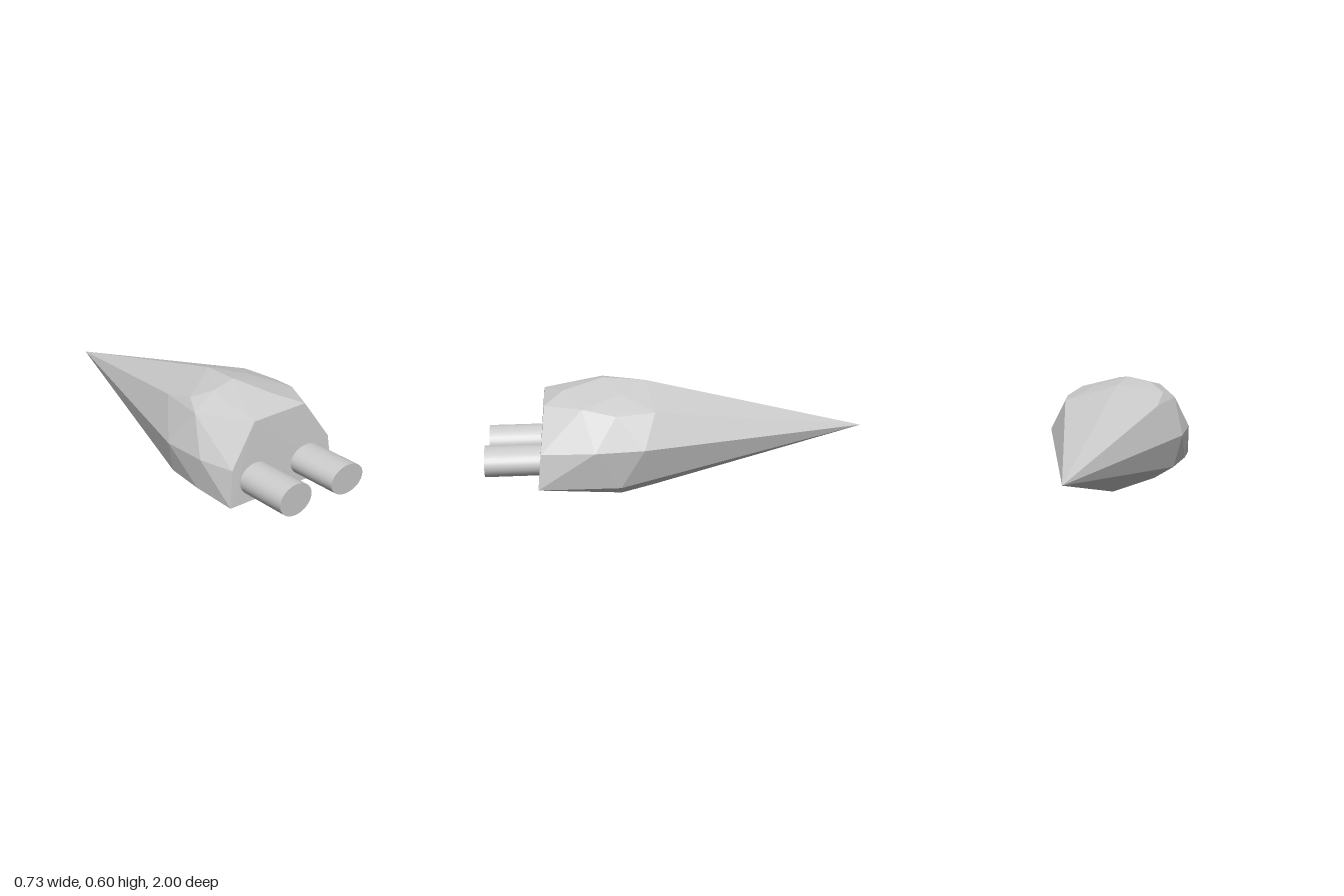
import * as THREE from 'three';
import { ConvexGeometry } from 'three/addons/geometries/ConvexGeometry.js';

export function createModel() {
  const group = new THREE.Group();
  const faceted = new THREE.MeshStandardMaterial({ color: 0xcccccc, flatShading: true });
  const smooth = new THREE.MeshStandardMaterial({ color: 0xcccccc });

  // Faceted body: a hull around a few corners, drawn out to a point at the back
  const corners = [
    // flat, slightly leaning front face
    [-0.17, 0.52, 0.69], [0.16, 0.522, 0.69], [0.31, 0.31, 0.712],
    [0.325, 0.125, 0.73], [-0.335, 0.115, 0.715], [-0.315, 0.305, 0.7],
    // left flank
    [0.25, 0.523, 0.5], [0.295, 0.495, 0.33], [0.26, 0.5, 0.13],
    [0.365, 0.325, 0.44], [0.357, 0.33, 0.19], [0.32, 0.12, 0.31],
    // right flank
    [-0.365, 0.31, 0.52], [-0.365, 0.305, 0.27], [-0.35, 0.135, 0.48],
    [-0.3, 0.495, 0.4], [-0.25, 0.535, 0.3], [-0.25, 0.49, 0.12], [-0.32, 0.13, 0.25],
    // crown
    [-0.04, 0.605, 0.38], [-0.17, 0.575, 0.38], [0.05, 0.567, 0.59],
    [-0.02, 0.59, 0.16], [0.13, 0.56, 0.3],
    // underside
    [-0.005, 0.003, 0.13], [-0.02, 0.018, 0.35], [0.17, 0.035, 0.3],
    [-0.205, 0.05, 0.3], [0.17, 0.06, 0.56], [-0.1, 0.06, 0.56],
    // tail tip
    [0, 0.31, -1],
  ].map((p) => new THREE.Vector3(...p));
  const body = new THREE.Mesh(new ConvexGeometry(corners), faceted);
  body.name = 'body';
  group.add(body);

  // Two oval tubes sticking out of the front face
  const addTube = (name, x, y, rx, ry, end) => {
    const start = 0.6;
    const geometry = new THREE.CylinderGeometry(1, 1, end - start, 32);
    geometry.rotateX(Math.PI / 2);
    geometry.scale(rx, ry, 1);
    const tube = new THREE.Mesh(geometry, smooth);
    tube.name = name;
    tube.position.set(x, y, (start + end) / 2);
    group.add(tube);
  };
  addTube('rightTube', -0.17, 0.226, 0.101, 0.082, 0.99);
  addTube('leftTube', 0.159, 0.23, 0.106, 0.077, 1);

  return group;
}
